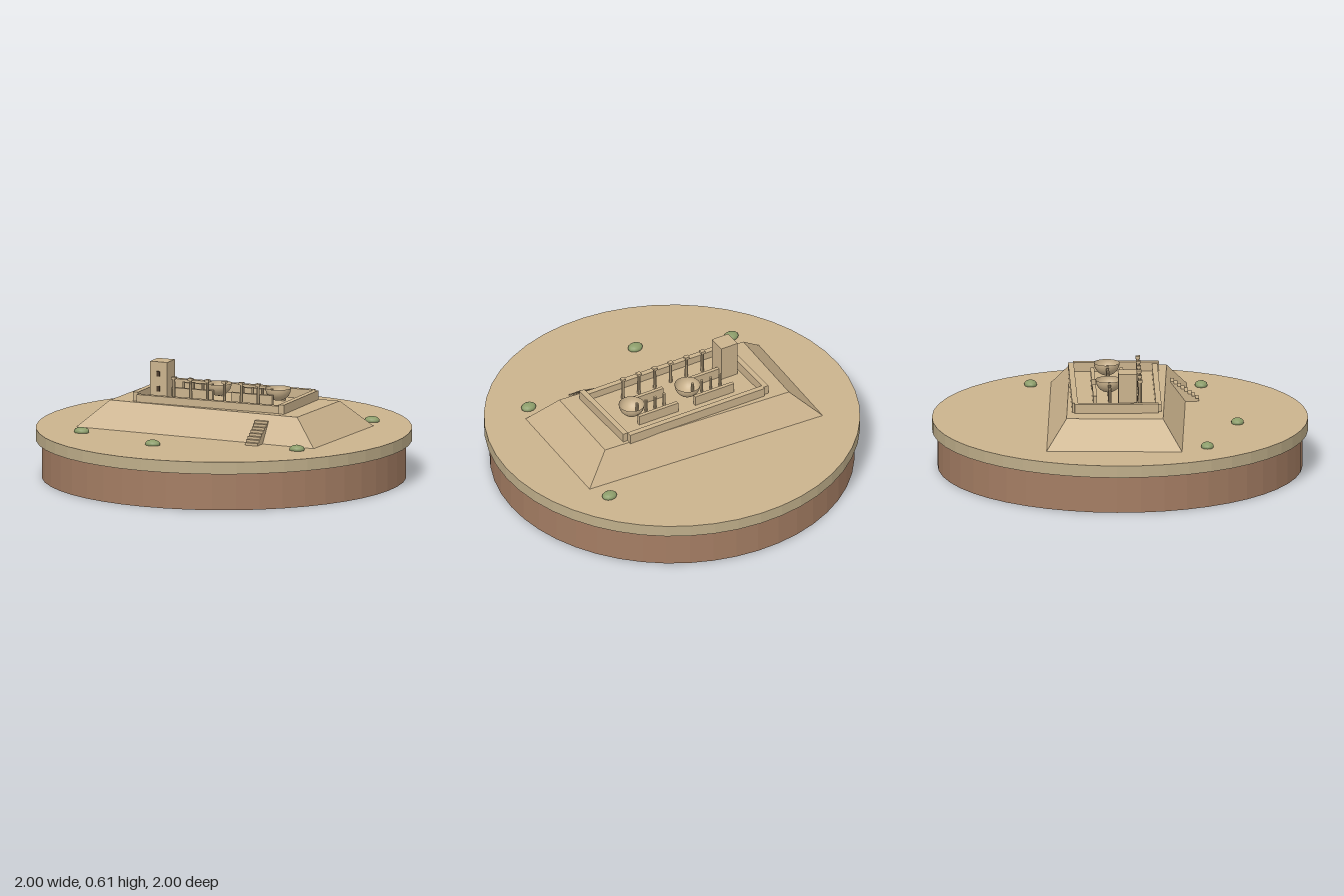
import * as THREE from 'three';

const mat = (name, color, opts = {}) => Object.assign(new THREE.MeshStandardMaterial({ color, ...opts }), { name });

export function createModel() {
  const sand = mat('sand stone', 0xcbb38d, { flatShading: true });
  const bowlStone = mat('smooth sand stone', 0xcbb38d, { side: THREE.DoubleSide });
  const rim = mat('dry grass rim', 0xbfae8a, { flatShading: true });
  const earth = mat('earth', 0xa47d63, { flatShading: true });
  const dark = mat('dark opening', 0x4a3a2a);
  const green = mat('scrub green', 0x8c9d6a);

  const model = new THREE.Group();
  const add = (parent, name, geometry, material, x, y, z) => {
    const mesh = new THREE.Mesh(geometry, material);
    mesh.name = name;
    mesh.position.set(x, y, z);
    parent.add(mesh);
    return mesh;
  };
  // box given by its bottom and top heights
  const block = (parent, name, x, z, w, d, y0, y1, material = sand) =>
    add(parent, name, new THREE.BoxGeometry(w, y1 - y0, d), material, x, (y0 + y1) / 2, z);

  // round base
  add(model, 'earthBase', new THREE.CylinderGeometry(0.97, 0.97, 0.2, 48), earth, 0, 0.1, 0);
  add(model, 'groundDisc', new THREE.CylinderGeometry(1, 1, 0.065, 48), [rim, sand, rim], 0, 0.2325, 0);

  // sloping mound: a box with its top drawn in
  const moundShape = new THREE.BoxGeometry(1.405, 0.14, 0.72);
  const p = moundShape.attributes.position;
  for (let i = 0; i < p.count; i++) {
    if (p.getY(i) > 0) p.setXYZ(i, p.getX(i) * 0.789, p.getY(i), p.getZ(i) * 0.713);
  }
  moundShape.computeVertexNormals();
  const mound = add(model, 'mound', moundShape, sand, 0.004, 0.335, -0.018);
  mound.rotation.y = -THREE.MathUtils.degToRad(22.5);

  // everything on the mound shares one turned frame
  const site = new THREE.Group();
  site.name = 'ruins';
  site.rotation.y = -THREE.MathUtils.degToRad(20);
  model.add(site);

  // enclosure walls
  block(site, 'backWall', 0, -0.25, 0.83, 0.03, 0.4, 0.455);
  block(site, 'frontWall', 0, 0.195, 0.83, 0.03, 0.4, 0.445);
  block(site, 'leftWall', 0.428, -0.01, 0.03, 0.455, 0.4, 0.455);
  block(site, 'rightWall', -0.43, -0.03, 0.03, 0.445, 0.4, 0.455);

  // tower with two windows
  block(site, 'tower', -0.344, 0.031, 0.1, 0.1, 0.4, 0.605);
  for (const y of [0.46, 0.54]) {
    block(site, 'towerWindow', -0.344, 0.083, 0.018, 0.008, y - 0.014, y + 0.014, dark);
  }

  // front colonnade
  for (let i = 0; i < 6; i++) {
    const x = -0.247 + i * 0.098;
    add(site, 'column', new THREE.CylinderGeometry(0.008, 0.01, 0.125, 8), sand, x, 0.4625, 0.101);
    block(site, 'columnCapital', x, 0.101, 0.024, 0.024, 0.522, 0.535);
  }

  // two halls, each with side walls, a row of posts and a bowl-shaped apse
  for (const x of [-0.175, 0.17]) {
    const hall = new THREE.Group();
    hall.name = 'hall';
    hall.position.set(x, 0, -0.063);
    site.add(hall);
    for (const s of [-1, 1]) block(hall, 'hallWall', 0, s * 0.077, 0.24, 0.02, 0.4, 0.46);
    for (let i = 0; i < 4; i++) {
      add(hall, 'hallPost', new THREE.CylinderGeometry(0.008, 0.008, 0.08, 8), sand, -0.085 + i * 0.056, 0.44, 0.003);
    }
    add(hall, 'apseBowl', new THREE.SphereGeometry(0.069, 24, 10, 0, Math.PI * 2, Math.PI / 2, Math.PI / 2),
      bowlStone, 0.117, 0.488, 0);
  }

  // stairs up the front slope
  const steps = 8;
  for (let i = 0; i < steps; i++) {
    block(site, 'stairStep', 0.345, 0.418 - i * 0.0188, 0.073, 0.0188, 0.26, 0.279 + i * 0.0137);
  }

  // low bushes
  for (const [x, z] of [[0.775, -0.205], [-0.745, 0.205], [-0.345, 0.535], [0.43, 0.633]]) {
    const bush = add(model, 'bush', new THREE.SphereGeometry(1, 14, 10), green, x, 0.272, z);
    bush.scale.set(0.042, 0.022, 0.034);
    bush.rotation.y = -0.3;
  }
  return model;
}
